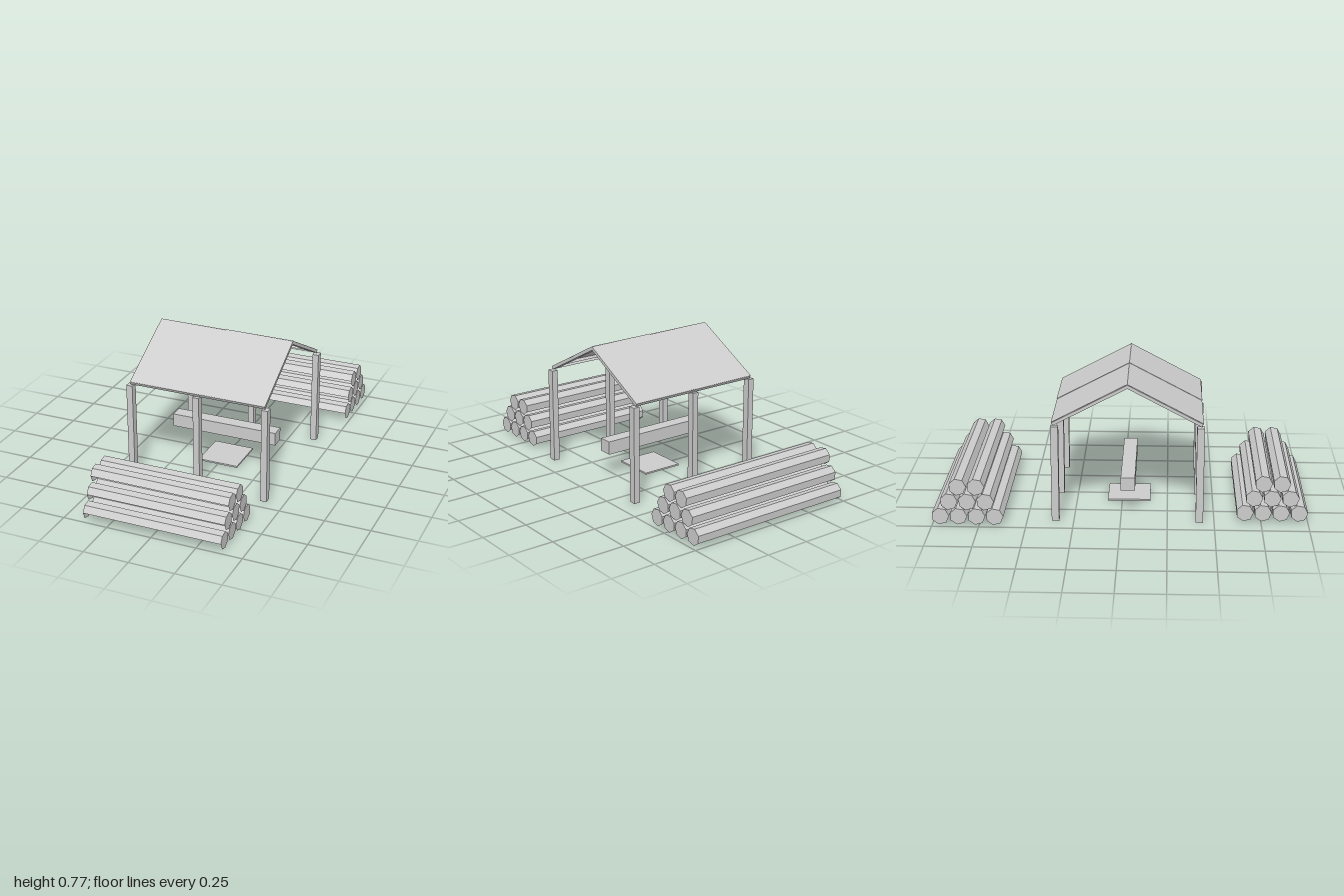
import * as THREE from 'three';

export function createModel() {
  const grey = new THREE.MeshStandardMaterial({ color: 0xcccccc, side: THREE.DoubleSide, flatShading: true });
  grey.name = 'plain grey';
  const model = new THREE.Group();
  model.name = 'woodShelter';

  // Box with an optional open underside
  function box(parent, name, w, h, d, x, y, z, open = false) {
    const geo = new THREE.BoxGeometry(w, h, d);
    if (open) {
      const index = Array.from(geo.index.array);
      index.splice(18, 6); // bottom face
      geo.setIndex(index);
      geo.clearGroups();
    }
    const mesh = new THREE.Mesh(geo, grey);
    mesh.name = name;
    mesh.position.set(x, y, z);
    parent.add(mesh);
    return mesh;
  }

  // Six posts
  for (const x of [-0.387, 0, 0.387])
    for (const z of [0.421, -0.348]) box(model, 'post', 0.035, 0.533, 0.04, x, 0.2665, z, true);

  // Gabled roof: each slope runs down its local +z from the ridge
  const slopeLength = 0.4527;
  for (const side of [1, -1]) {
    const turn = new THREE.Group();
    turn.name = side > 0 ? 'frontRoof' : 'backRoof';
    turn.position.set(0, 0.765, 0.035);
    turn.rotation.y = side > 0 ? 0 : Math.PI;
    const slope = new THREE.Group();
    slope.name = 'slope';
    slope.rotation.x = 0.487;
    turn.add(slope);
    model.add(turn);
    // Two slightly tilted sheets, stepped where they meet
    for (const x of [-0.193, 0.193]) {
      const sheet = box(slope, 'roofSheet', 0.386, 0.002, slopeLength, x, -0.002, slopeLength / 2);
      sheet.rotation.z = -0.007 * side;
    }
    for (const x of [-0.368, 0, 0.368])
      box(slope, 'rafter', 0.034, 0.017, slopeLength, x, -0.0125, slopeLength / 2);
    box(slope, 'eavePlank', 0.77, 0.0165, 0.1, 0, -0.0125, slopeLength - 0.0505, true);
  }

  // Hanging beam and ground plate
  box(model, 'crossBeam', 0.616, 0.074, 0.077, 0, 0.177, 0.036, true);
  box(model, 'groundPlate', 0.23, 0.009, 0.235, 0, 0.0045, 0.038);

  // Seven-sided log lying along x: full end caps, bark open on the lower front
  const corner = (k) => {
    const a = THREE.MathUtils.degToRad(2.9 + (k * 360) / 7);
    return [0.047 * Math.sin(a), 0.047 * Math.cos(a)];
  };
  function logGeometry(length) {
    const points = [];
    const h = length / 2;
    const tri = (...p) => p.forEach((v) => points.push(...v));
    for (let k = 0; k < 7; k++) {
      const [y0, z0] = corner(k);
      const [y1, z1] = corner(k + 1);
      tri([h, 0, 0], [h, y1, z1], [h, y0, z0]);
      tri([-h, 0, 0], [-h, y0, z0], [-h, y1, z1]);
      if (k < 4) {
        tri([-h, y0, z0], [h, y0, z0], [h, y1, z1]);
        tri([-h, y0, z0], [h, y1, z1], [-h, y1, z1]);
      }
    }
    const geo = new THREE.BufferGeometry();
    geo.setAttribute('position', new THREE.Float32BufferAttribute(points, 3));
    geo.computeVertexNormals();
    return geo;
  }

  // Log piles stacked four, three, two
  function logPile(name, length, z) {
    const pile = new THREE.Group();
    pile.name = name;
    const geo = logGeometry(length);
    for (let row = 0; row < 3; row++) {
      const count = 4 - row;
      for (let i = 0; i < count; i++) {
        const log = new THREE.Mesh(geo, grey);
        log.name = 'log';
        log.position.set(0, 0.051 + row * 0.0835, z + (i - (count - 1) / 2) * 0.0965);
        pile.add(log);
      }
    }
    model.add(pile);
  }
  logPile('frontLogPile', 0.77, 0.808);
  logPile('backLogPile', 0.962, -0.81);

  return model;
}
